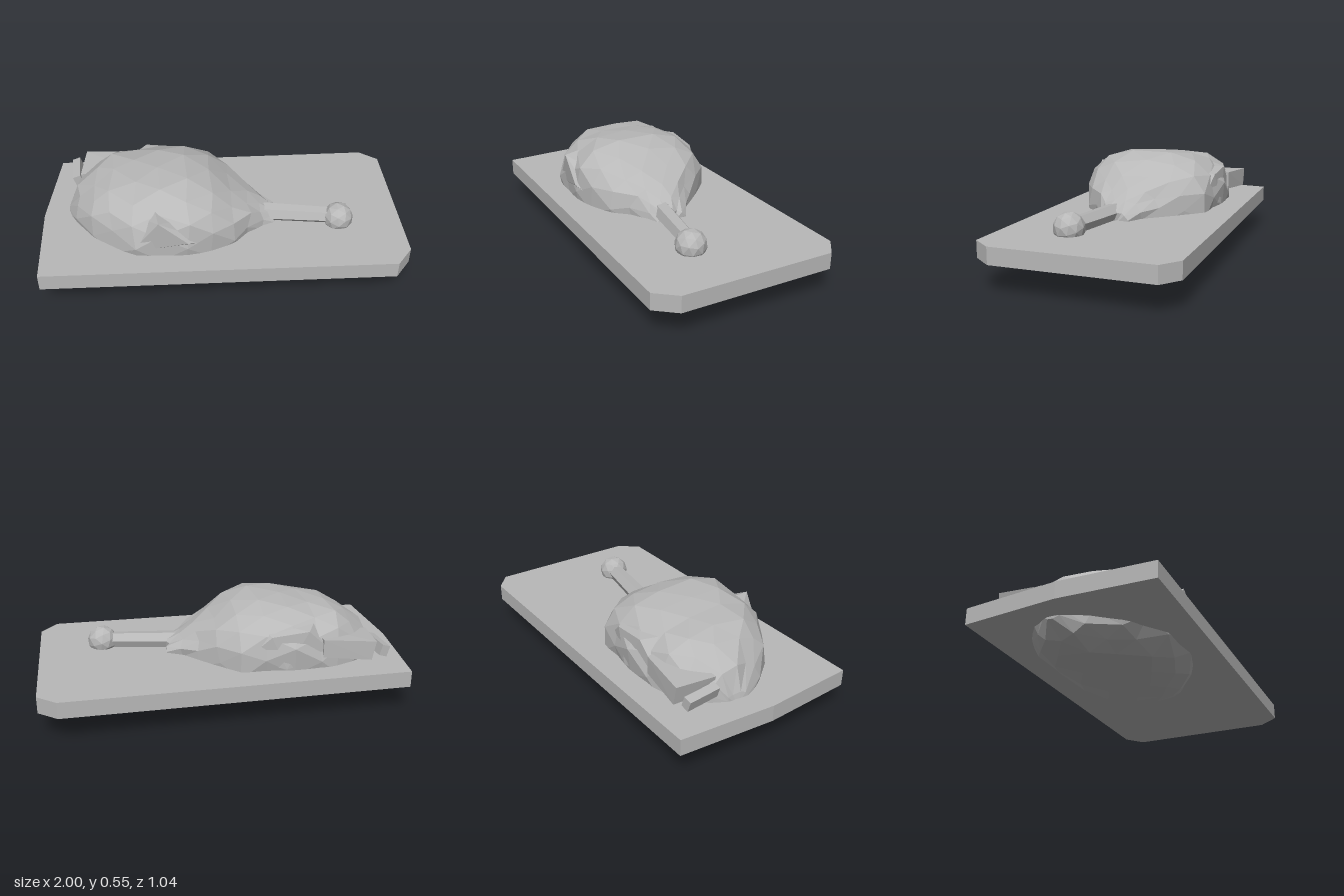
import * as THREE from 'three';
import { ConvexGeometry } from 'three/addons/geometries/ConvexGeometry.js';

const grey = new THREE.MeshStandardMaterial({ color: 0xb8b8b8, flatShading: true });
grey.name = 'plain grey';

const V = (x, y, z) => new THREE.Vector3(x, y, z);

function part(name, geometry, parent) {
  const mesh = new THREE.Mesh(geometry, grey);
  mesh.name = name;
  parent.add(mesh);
  return mesh;
}

// Roast cross-sections along x: x, bottom, top, back z, front z
const sections = [
  [-0.855, 0.14, 0.27, -0.17, -0.04],
  [-0.80, 0.05, 0.39, -0.24, 0.08],
  [-0.70, 0.01, 0.47, -0.32, 0.21],
  [-0.60, 0.00, 0.51, -0.38, 0.29],
  [-0.48, 0.00, 0.53, -0.39, 0.37],
  [-0.34, 0.00, 0.55, -0.40, 0.39],
  [-0.20, 0.005, 0.555, -0.385, 0.395],
  [-0.07, 0.02, 0.52, -0.36, 0.36],
  [0.04, 0.04, 0.45, -0.27, 0.30],
  [0.14, 0.075, 0.39, -0.16, 0.22],
  [0.22, 0.11, 0.33, -0.08, 0.17],
  [0.285, 0.14, 0.29, -0.03, 0.13],
];

// Faceted loft with a slight seeded unevenness
function roastGeometry() {
  const n = 14, pos = [], index = [];
  let seed = 7;
  const jitter = (s) => {
    seed = (seed * 16807) % 2147483647;
    return (seed / 2147483647 - 0.5) * s;
  };
  const bend = (v) => Math.sign(v) * Math.abs(v) ** 0.82;
  sections.forEach(([x, bottom, top, back, front], i) => {
    const cy = bottom + (top - bottom) * 0.53;
    for (let j = 0; j < n; j++) {
      const t = ((j + (i % 2) * 0.5) / n) * Math.PI * 2;
      const s = bend(Math.sin(t)), c = bend(Math.cos(t));
      pos.push(
        x + jitter(0.03),
        Math.max(0, cy + s * (s > 0 ? top - cy : cy - bottom) + jitter(0.016)),
        (back + front) / 2 + (c * (front - back)) / 2 + jitter(0.016));
    }
  });
  const last = sections.length - 1;
  for (let i = 0; i < last; i++) {
    for (let j = 0; j < n; j++) {
      const k = (j + 1) % n;
      const a = i * n + j, b = a + n, c = i * n + k, d = c + n;
      // diagonals follow the half-step offset of alternate rings
      if (i % 2) index.push(a, b, d, a, d, c);
      else index.push(a, b, c, b, d, c);
    }
  }
  // end caps
  [0, last].forEach((i) => {
    const [x, bottom, top, back, front] = sections[i];
    const centre = pos.length / 3;
    pos.push(x + (i ? 0.005 : -0.01), (bottom + top) / 2, (back + front) / 2);
    for (let j = 0; j < n; j++) {
      const a = i * n + j, b = i * n + ((j + 1) % n);
      index.push(centre, i ? b : a, i ? a : b);
    }
  });
  const g = new THREE.BufferGeometry();
  g.setAttribute('position', new THREE.Float32BufferAttribute(pos, 3));
  g.setIndex(index);
  g.computeVertexNormals();
  return g;
}

export function createModel() {
  const model = new THREE.Group();
  model.name = 'roast on board';

  // Cutting board with clipped corners
  const outline = [[-0.95, -0.52], [0.90, -0.52], [1, -0.44], [0.99, 0.41],
    [0.90, 0.52], [-0.98, 0.50], [-1, 0]];
  const shape = new THREE.Shape(outline.map(([x, z]) => new THREE.Vector2(x, -z)));
  const board = new THREE.ExtrudeGeometry(shape, { depth: 0.09, bevelEnabled: false });
  board.rotateX(-Math.PI / 2).translate(0, 0.15, 0);
  part('board', board, model);

  // Meat body
  part('roastBody', roastGeometry(), model);

  // Raised folds on both flanks
  part('frontFold', new ConvexGeometry([
    V(-0.35, 0.46, 0.385), V(-0.50, 0.26, 0.36), V(-0.20, 0.33, 0.395), V(-0.05, 0.28, 0.34),
    V(-0.38, 0.48, 0.2), V(-0.1, 0.35, 0.2), V(-0.5, 0.38, 0.2)]), model);
  part('backFold', new ConvexGeometry([
    V(-0.42, 0.45, -0.375), V(-0.58, 0.30, -0.37), V(-0.22, 0.43, -0.37), V(-0.08, 0.30, -0.34),
    V(-0.52, 0.48, -0.2), V(-0.15, 0.48, -0.2), V(-0.3, 0.25, -0.39)]), model);

  // Folded slab and its narrow end strip at the back corner
  const slab = part('slab', new ConvexGeometry([
    V(-0.78, 0.385, -0.42), V(-0.80, 0.375, -0.20), V(-0.76, 0.28, -0.42), V(-0.78, 0.28, -0.20),
    V(-0.50, 0.40, -0.385), V(-0.50, 0.30, -0.385), V(-0.50, 0.40, -0.2), V(-0.50, 0.30, -0.2)]), model);
  slab.name = 'sideSlab';
  const strip = part('endStrip', new THREE.BoxGeometry(0.045, 0.06, 0.19), model);
  strip.position.set(-0.828, 0.32, -0.31);
  strip.rotation.set(0, 0.09, 0.3);

  // Bone shaft
  const from = V(0.2, 0.27, 0.07), to = V(0.62, 0.275, 0.14);
  const dir = to.clone().sub(from);
  const bone = part('boneShaft', new THREE.CylinderGeometry(0.046, 0.054, dir.length(), 6), model);
  bone.position.copy(from).lerp(to, 0.5);
  bone.quaternion.setFromUnitVectors(V(0, 1, 0), dir.normalize());

  // Bone knob
  const knob = part('boneKnob', new THREE.IcosahedronGeometry(0.083, 1), model);
  knob.position.set(0.64, 0.272, 0.148);
  knob.rotation.set(0.3, 0.5, 0.2);

  return model;
}
